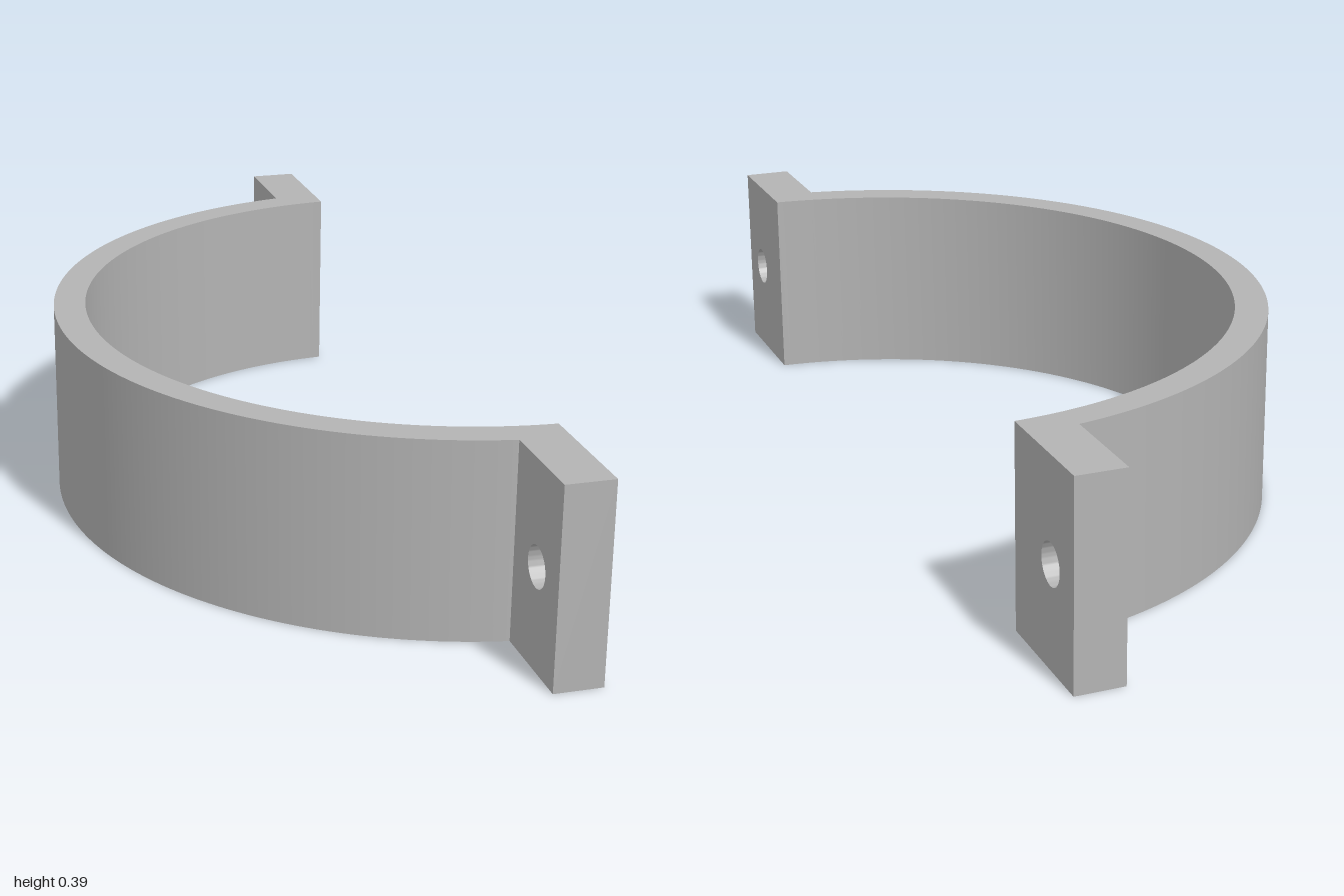
import * as THREE from 'three';
import { toCreasedNormals } from 'three/addons/utils/BufferGeometryUtils.js';

const H = 0.394;               // height of the clamp
const CX = 0.423;              // arc centre on x
const R_OUT = 0.806, R_IN = 0.741;
const X0 = 0.287, X1 = 0.383;  // back and mating faces of the tabs
const Z0 = Math.sqrt(R_OUT ** 2 - (CX - X0) ** 2); // where tab meets band
const Z1 = 1;

function extrude(shape, depth, curveSegments) {
  const geo = new THREE.ExtrudeGeometry(shape, { depth, bevelEnabled: false, curveSegments });
  return toCreasedNormals(geo, 0.5);
}

export function createModel() {
  const group = new THREE.Group();
  group.name = 'halfClamp';
  const metal = new THREE.MeshStandardMaterial({ color: 0xb3b3b3 });
  metal.name = 'grey metal';

  const add = (geo, name) => {
    const mesh = new THREE.Mesh(geo, metal);
    mesh.name = name;
    group.add(mesh);
  };

  // Curved band, cut flat at the mating plane
  const a = Math.acos((X0 - CX) / R_OUT);
  const b = Math.acos((X1 - CX) / R_IN);
  const band = new THREE.Shape();
  band.absarc(CX, 0, R_OUT, a, 2 * Math.PI - a, false);
  band.lineTo(X1, -Z0);
  band.absarc(CX, 0, R_IN, 2 * Math.PI - b, b, true);
  band.lineTo(X1, Z0);
  band.closePath();
  add(extrude(band, H, 72).rotateX(-Math.PI / 2), 'band');

  // Bolt tabs at both ends, each with a through hole
  for (const [side, name] of [[1, 'frontTab'], [-1, 'backTab']]) {
    const lo = Math.min(side * Z0, side * Z1), hi = Math.max(side * Z0, side * Z1);
    const tab = new THREE.Shape();
    tab.moveTo(lo, 0).lineTo(hi, 0).lineTo(hi, H).lineTo(lo, H).closePath();
    tab.holes.push(new THREE.Path().absarc(side * 0.9, H / 2, 0.04, 0, 2 * Math.PI, true));
    // Turn the extrusion to run along x
    const geo = extrude(tab, X1 - X0, 32).rotateY(-Math.PI / 2).translate(X1, 0, 0);
    add(geo, name);
  }
  return group;
}
